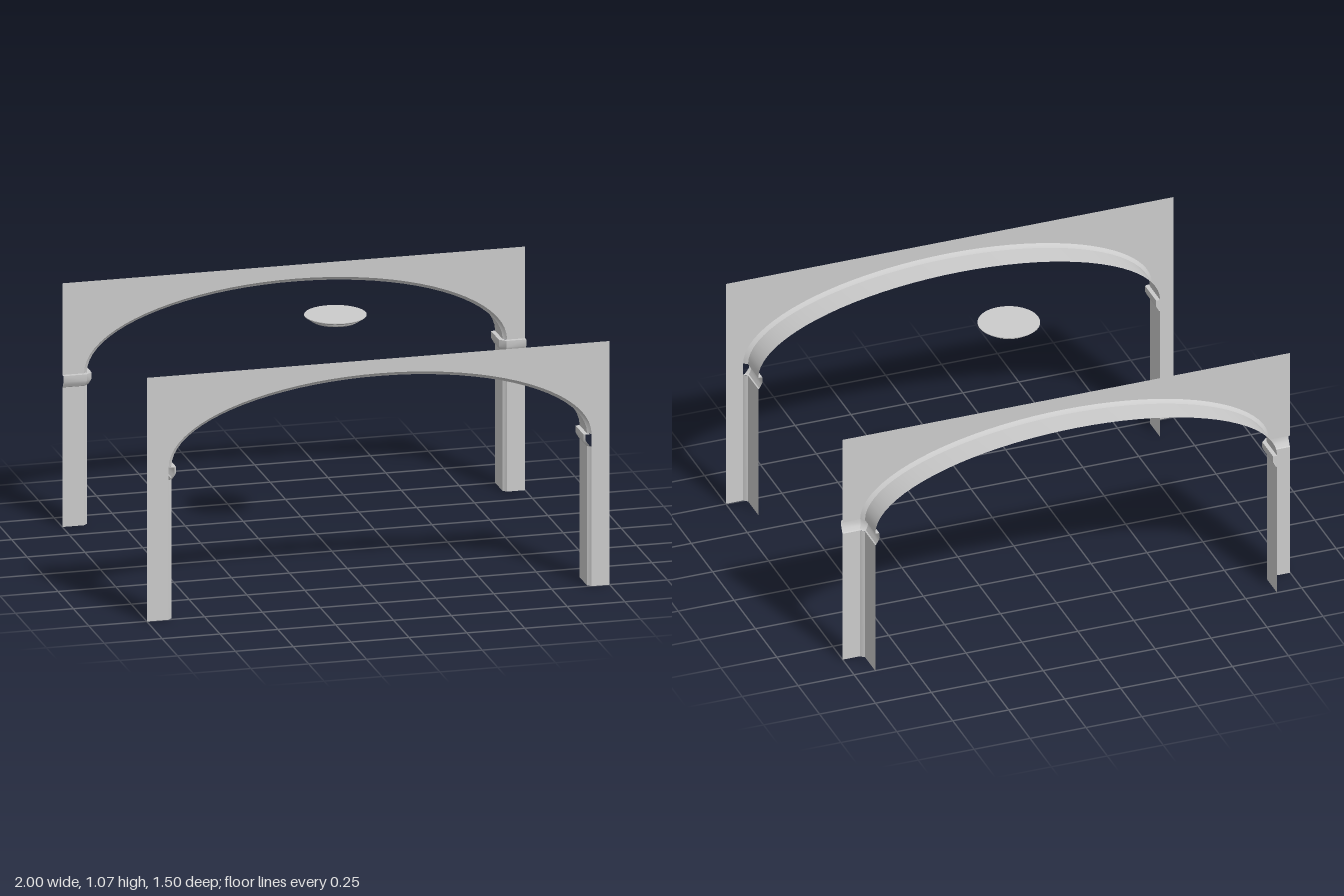
import * as THREE from 'three';
import { toCreasedNormals } from 'three/addons/utils/BufferGeometryUtils.js';

const material = new THREE.MeshStandardMaterial({ color: 0xcccccc, side: THREE.DoubleSide });

const CX = 0.008;      // centre of the opening
const A = 0.914;       // half width of the opening at the wall face
const RISE = 0.34;     // height of the arch above its springing
const SPRING = 0.665;  // springing line, top of the capitals
const NECK = 0.61;     // underside of the capitals
const TOP = 1.066;     // top of the wall
const DEPTH = 0.135;   // depth of the reveal
const CHAMFER = 0.016; // moulded edge between wall and reveal

// Section of the reveal: [inset into the opening, z behind the wall face]
const REVEAL = [[0, 0], [0.007, -0.008], [CHAMFER, -0.014], [CHAMFER, -DEPTH]];
// Section of the capital: [projection, height]
const CAPITAL = [[0, NECK], [0.005, 0.613], [0.012, 0.625], [0.018, 0.638], [0.018, SPRING], [0, SPRING]];

function add(parent, name, geometry) {
  const mesh = new THREE.Mesh(geometry, material);
  mesh.name = name;
  parent.add(mesh);
  return mesh;
}

// Skin a list of equally long rows of [x, y, z] points
function loft(rows) {
  const n = rows[0].length;
  const index = [];
  for (let i = 0; i < rows.length - 1; i++) {
    for (let j = 0; j < n - 1; j++) {
      const a = i * n + j, b = a + n;
      index.push(a, b, a + 1, b, b + 1, a + 1);
    }
  }
  const geometry = new THREE.BufferGeometry();
  geometry.setAttribute('position', new THREE.Float32BufferAttribute(rows.flat(2), 3));
  geometry.setIndex(index);
  return toCreasedNormals(geometry, 0.5);
}

function archPoint(t, inset) {
  return [CX - (A - inset) * Math.cos(t), SPRING + (RISE - inset) * Math.sin(t)];
}

// wrapped: the capitals run on across the wall face to its outer edges
function createArch(name, z, wrapped) {
  const arch = new THREE.Group();
  arch.name = name;
  arch.position.z = z;

  const angles = Array.from({ length: 41 }, (_, i) => (Math.PI * i) / 40);

  // Wall above the springing line
  const wall = new THREE.Shape();
  wall.moveTo(-1, TOP);
  wall.lineTo(-1, SPRING);
  angles.forEach((t) => wall.lineTo(...archPoint(t, 0)));
  wall.lineTo(1, SPRING);
  wall.lineTo(1, TOP);
  add(arch, 'spandrelWall', new THREE.ShapeGeometry(wall));

  // Curved underside with its moulded edge
  add(arch, 'archReveal', loft(angles.map((t) => REVEAL.map(([inset, dz]) => [...archPoint(t, inset), dz]))));

  for (const s of [-1, 1]) {
    const side = s > 0 ? 'left' : 'right';
    const x = (w) => CX + s * w;
    const edge = 1 - s * CX; // outer edge of the wall, measured from the opening's centre

    // Wall strip of the pier
    const height = wrapped ? NECK : SPRING;
    const strip = add(arch, side + 'PierFace', new THREE.PlaneGeometry(edge - A, height));
    strip.position.set(x((edge + A) / 2), height / 2, 0);

    // Reveal of the pier
    add(arch, side + 'PierReveal', loft([0, NECK].map((y) => REVEAL.map(([inset, dz]) => [x(A - inset), y, dz]))));

    // Capital following the edge of the pier
    add(arch, side + 'Capital', loft(CAPITAL.map(([o, y]) => {
      const start = wrapped
        ? [[x(edge), y, o], [x(A - 0.41 * o), y, o]]
        : [[x(A - 1.41 * o), y, 0]];
      return [
        ...start,
        [x(A - CHAMFER - o), y, -0.014 + 0.41 * o],
        [x(A - CHAMFER - o), y, -DEPTH],
      ];
    })));
  }
  return arch;
}

export function createModel() {
  const model = new THREE.Group();
  model.name = 'archedBay';
  model.add(createArch('frontArch', 0.752, false));
  model.add(createArch('backArch', -0.617, true));

  // Stepped round ceiling boss between the arches
  const profile = [
    [0, 1.02], [0.06, 1.02], [0.095, 1.027], [0.108, 1.035], [0.11, 1.041],
    [0.121, 1.044], [0.131, 1.051], [0.131, 1.054], [0, 1.054],
  ].map(([r, y]) => new THREE.Vector2(r, y));
  const boss = add(model, 'ceilingBoss', toCreasedNormals(new THREE.LatheGeometry(profile, 40), 0.4));
  boss.position.z = 0.058;
  return model;
}
